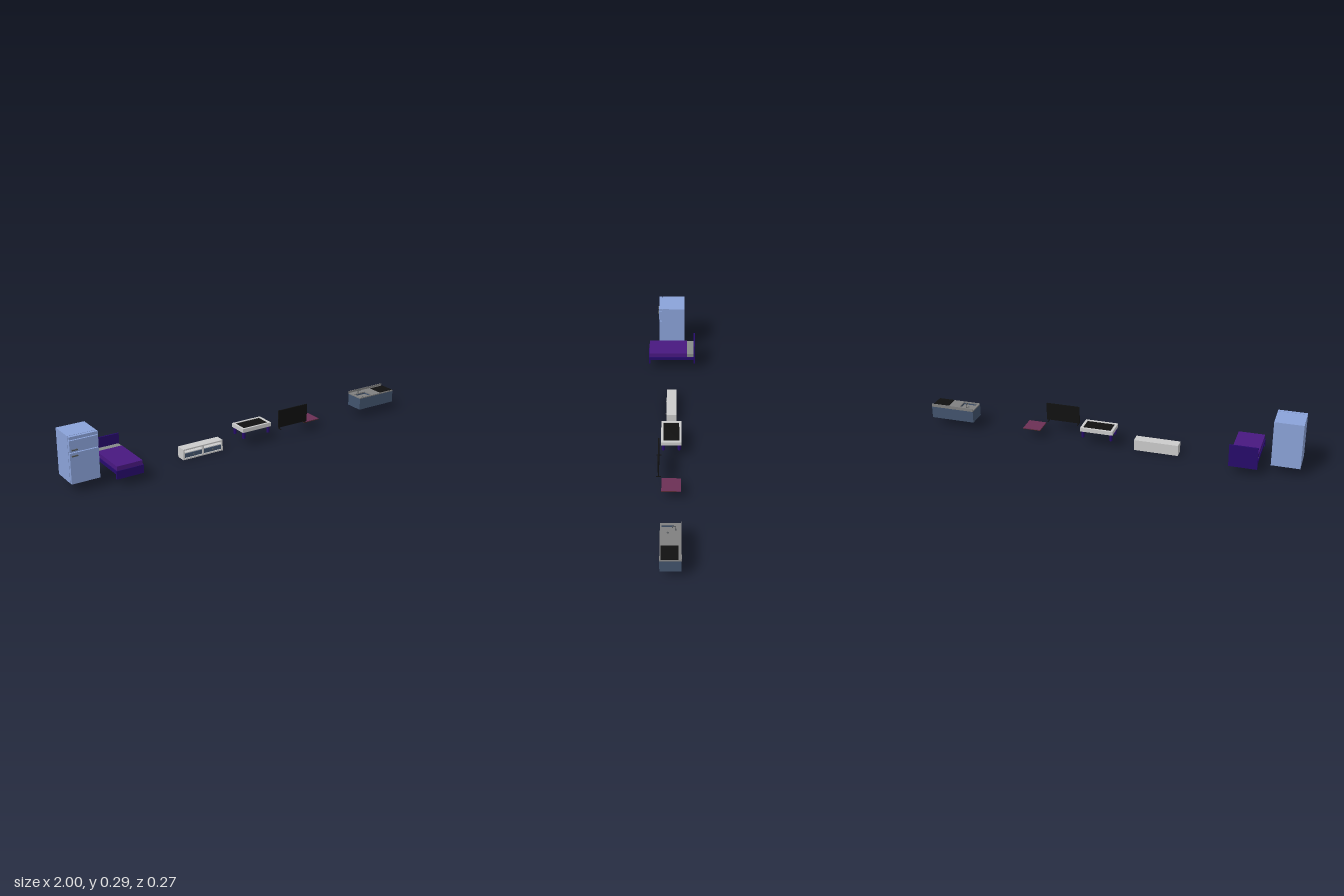
import * as THREE from 'three';

const mat = (color) => new THREE.MeshStandardMaterial({ color });
const M = {
  grey: mat(0xcccccc), blue: mat(0x8ba3d9), navy: mat(0x42546e), indigo: mat(0x260a6b),
  purple: mat(0x481880), pillow: mat(0x858a88), black: mat(0x101010), stone: mat(0x808080),
  steel: mat(0x55595c), plum: mat(0x6b3055), brown: mat(0x4a2a1a),
};

// Box given by its minimum and maximum on each axis
function box(parent, name, m, x0, x1, y0, y1, z0, z1) {
  const mesh = new THREE.Mesh(new THREE.BoxGeometry(x1 - x0, y1 - y0, z1 - z0), m);
  mesh.position.set((x0 + x1) / 2, (y0 + y1) / 2, (z0 + z1) / 2);
  mesh.name = name;
  parent.add(mesh);
  return mesh;
}

function cylinder(parent, name, m, r, h, x, y, z) {
  const mesh = new THREE.Mesh(new THREE.CylinderGeometry(r, r, h, 16), m);
  mesh.position.set(x, y, z);
  mesh.name = name;
  parent.add(mesh);
  return mesh;
}

// Horizontal slab with one rectangular opening; rect = [x0, x1, z0, z1]
function slabWithHole(parent, name, m, rect, hole, y0, y1) {
  const corners = ([x0, x1, z0, z1]) =>
    [[x0, -z1], [x1, -z1], [x1, -z0], [x0, -z0]].map((p) => new THREE.Vector2(...p));
  const shape = new THREE.Shape(corners(rect));
  shape.holes.push(new THREE.Path(corners(hole).reverse()));
  const geo = new THREE.ExtrudeGeometry(shape, { depth: y1 - y0, bevelEnabled: false });
  geo.rotateX(-Math.PI / 2).translate(0, y0, 0);
  const mesh = new THREE.Mesh(geo, m);
  mesh.name = name;
  parent.add(mesh);
}

function group(root, name) {
  const g = new THREE.Group();
  g.name = name;
  root.add(g);
  return g;
}

function buildFridge(root) {
  const g = group(root, 'fridge');
  box(g, 'body', M.blue, -1, -0.853, 0.047, 0.286, -0.073, 0.056);
  box(g, 'gasket', M.blue, -0.996, -0.857, 0.052, 0.282, 0.056, 0.061);
  for (const [name, y0, y1] of [['lowerDoor', 0.048, 0.204], ['upperDoor', 0.208, 0.267], ['topPanel', 0.271, 0.286]])
    box(g, name, M.blue, -1, -0.853, y0, y1, 0.059, 0.075);
  // Horizontal bar handles on two posts
  for (const y of [0.191, 0.221]) {
    box(g, 'handle', M.steel, -0.993, -0.962, y - 0.003, y + 0.003, 0.08, 0.084);
    for (const x of [-0.991, -0.967]) box(g, 'handlePost', M.steel, x, x + 0.003, y - 0.002, y + 0.002, 0.075, 0.081);
  }
  for (const x of [-0.985, -0.868]) for (const z of [-0.058, 0.045])
    cylinder(g, 'foot', M.blue, 0.006, 0.005, x, 0.0448, z);
}

function buildBed(root) {
  const g = group(root, 'bed');
  box(g, 'headboard', M.indigo, -0.795, -0.65, 0.043, 0.161, -0.133, -0.125);
  box(g, 'footboard', M.indigo, -0.795, -0.65, 0.043, 0.086, 0.124, 0.133);
  box(g, 'frame', M.indigo, -0.795, -0.65, 0.068, 0.086, -0.125, 0.124);
  box(g, 'blanket', M.purple, -0.791, -0.654, 0.086, 0.109, -0.087, 0.13);
  box(g, 'pillow', M.pillow, -0.791, -0.654, 0.086, 0.107, -0.125, -0.087);
}

function buildCabinet(root) {
  const g = group(root, 'lowCabinet');
  const x0 = -0.37, x1 = -0.135, mid = (x0 + x1) / 2;
  box(g, 'bottom', M.grey, x0, x1, 0, 0.008, -0.026, 0.027);
  box(g, 'top', M.grey, x0, x1, 0.051, 0.058, -0.026, 0.027);
  box(g, 'back', M.grey, x0, x1, 0.008, 0.051, -0.026, -0.021);
  box(g, 'shelf', M.grey, x0 + 0.008, x1 - 0.008, 0.034, 0.038, -0.021, 0.025);
  for (const [x, w] of [[x0 + 0.004, 0.004], [mid, 0.004], [x1 - 0.004, 0.004]])
    box(g, 'upright', M.grey, x - w, x + w, 0.008, 0.051, -0.021, 0.027);
  // One drawer with a knob in each bay
  for (const [a, b] of [[x0 + 0.01, mid - 0.006], [mid + 0.006, x1 - 0.01]]) {
    box(g, 'drawer', M.navy, a, b, 0.01, 0.032, -0.02, 0.025);
    const knob = cylinder(g, 'knob', M.steel, 0.003, 0.007, (a + b) / 2, 0.021, 0.0285);
    knob.rotation.x = Math.PI / 2;
  }
}

function buildTable(root) {
  const g = group(root, 'coffeeTable');
  slabWithHole(g, 'tableFrame', M.grey, [-0.026, 0.151, -0.053, 0.053], [-0.013, 0.138, -0.041, 0.041], 0.08, 0.101);
  box(g, 'tableTop', M.black, -0.013, 0.138, 0.09, 0.098, -0.041, 0.041);
  box(g, 'tableBase', M.grey, -0.013, 0.138, 0.08, 0.09, -0.041, 0.041);
  for (const x of [-0.014, 0.139]) for (const z of [-0.041, 0.041])
    cylinder(g, 'leg', M.indigo, 0.008, 0.037, x, 0.0625, z);
}

function buildTelevision(root) {
  const g = group(root, 'television');
  box(g, 'screen', M.black, 0.191, 0.376, 0.066, 0.162, 0.06, 0.066);
  for (const x of [0.2, 0.367]) {
    box(g, 'stand', M.black, x - 0.002, x + 0.002, 0.057, 0.067, 0.061, 0.065);
    box(g, 'foot', M.black, x - 0.002, x + 0.002, 0.056, 0.059, 0.051, 0.075);
  }
}

function buildRug(root) {
  const g = group(root, 'rug');
  box(g, 'backing', M.brown, 0.376, 0.472, 0.047, 0.049, -0.048, 0.048);
  box(g, 'pile', M.plum, 0.376, 0.472, 0.049, 0.053, -0.048, 0.048);
}

function buildKitchen(root) {
  const g = group(root, 'kitchenCounter');
  const sink = [0.772, 0.85, -0.016, 0.042];
  box(g, 'cupboard', M.navy, 0.76, 1, 0.043, 0.098, -0.05, 0.05);
  slabWithHole(g, 'cupboardRim', M.navy, [0.76, 1, -0.05, 0.05], sink, 0.098, 0.107);
  slabWithHole(g, 'worktop', M.stone, [0.76, 1, -0.05, 0.05], sink, 0.107, 0.113);
  box(g, 'sinkFloor', M.stone, ...sink.slice(0, 2), 0.098, 0.1, ...sink.slice(2));
  cylinder(g, 'drain', M.steel, 0.005, 0.002, 0.811, 0.1005, 0.013);
  box(g, 'backsplash', M.stone, 0.76, 1, 0.113, 0.124, -0.05, -0.047);
  box(g, 'cooktop', M.black, 0.91, 0.997, 0.113, 0.116, -0.036, 0.045);
  // Tap with a spout reaching over the basin
  cylinder(g, 'tapBase', M.steel, 0.004, 0.005, 0.806, 0.1155, -0.023);
  cylinder(g, 'tapStem', M.steel, 0.002, 0.022, 0.806, 0.124, -0.023);
  box(g, 'tapSpout', M.steel, 0.804, 0.808, 0.132, 0.136, -0.025, -0.006);
  box(g, 'tapNozzle', M.steel, 0.804, 0.808, 0.128, 0.132, -0.01, -0.006);
}

export function createModel() {
  const root = new THREE.Group();
  root.name = 'furnitureSet';
  for (const build of [buildFridge, buildBed, buildCabinet, buildTable, buildTelevision, buildRug, buildKitchen]) build(root);
  return root;
}
